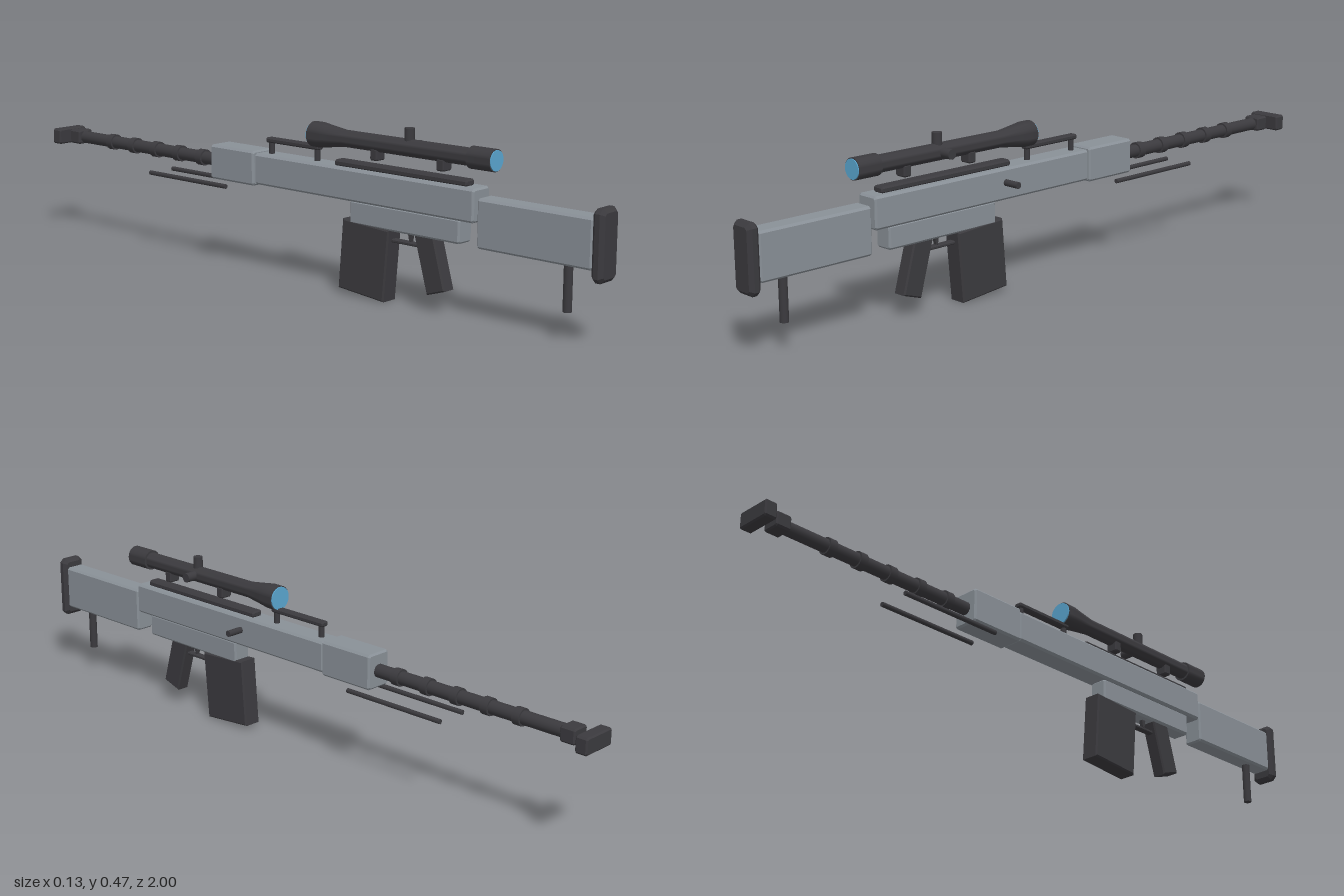
import * as THREE from 'three';
import { toCreasedNormals } from 'three/addons/utils/BufferGeometryUtils.js';

const material = (name, color) => {
  const m = new THREE.MeshStandardMaterial({ color });
  m.name = name;
  return m;
};

export function createModel() {
  const model = new THREE.Group();
  model.name = 'rifle';
  const grey = material('stockGrey', 0x899097);
  const dark = material('gunmetal', 0x3b3a3e);
  const blue = material('lensBlue', 0x5aa6d0);
  const CX = -0.016; // centre plane of the rifle

  const add = (name, geometry, mat, x, y, z) => {
    const mesh = new THREE.Mesh(geometry, mat);
    mesh.name = name;
    mesh.position.set(CX + x, y, z);
    model.add(mesh);
    return mesh;
  };

  // Box with chamfered edges, given by its y and z ranges
  const block = (name, mat, w, y0, y1, z0, z1, c = 0.005) => {
    const a = w / 2 - c, b = (y1 - y0) / 2 - c, k = c * 0.6;
    const shape = new THREE.Shape([
      [a, k - b], [a, b - k], [a - k, b], [k - a, b],
      [-a, b - k], [-a, k - b], [k - a, -b], [a - k, -b],
    ].map(p => new THREE.Vector2(...p)));
    const g = new THREE.ExtrudeGeometry(shape, {
      depth: z1 - z0 - 2 * c, bevelSize: c, bevelThickness: c, bevelSegments: 1,
    });
    return add(name, g.translate(0, 0, c), mat, 0, (y0 + y1) / 2, z0);
  };

  // Side outline of [z, y] points, extruded across the width
  const slab = (name, mat, w, points, c = 0.004) => {
    const g = new THREE.ExtrudeGeometry(new THREE.Shape(points.map(p => new THREE.Vector2(...p))), {
      depth: w - 2 * c, bevelSize: c, bevelOffset: -c, bevelThickness: c, bevelSegments: 1,
    });
    return add(name, g.translate(0, 0, c - w / 2).rotateY(-Math.PI / 2), mat, 0, 0, 0);
  };

  // Cylinder centred at a point, along the chosen axis
  const rod = (name, mat, r, length, axis, x, y, z, segments = 16) => {
    const g = new THREE.CylinderGeometry(r, r, length, segments);
    if (axis === 'x') g.rotateZ(Math.PI / 2);
    if (axis === 'z') g.rotateX(Math.PI / 2);
    return add(name, g, mat, x, y, z);
  };

  // Stock, receiver and fore-end
  block('buttPlate', dark, 0.073, 0.17, 0.35, 0.967, 1.0, 0.01);
  block('stock', grey, 0.058, 0.198, 0.326, 0.63, 0.967);
  block('receiver', grey, 0.069, 0.261, 0.348, -0.136, 0.623);
  block('lowerReceiver', grey, 0.054, 0.199, 0.264, 0.21, 0.575);
  block('foreEnd', grey, 0.078, 0.256, 0.354, -0.307, -0.136);
  rod('monopod', dark, 0.0115, 0.125, 'y', 0, 0.141, 0.885);

  // Grip, trigger and magazine
  slab('pistolGrip', dark, 0.042, [[0.487, 0.21], [0.422, 0.21], [0.468, 0.048], [0.527, 0.067]]);
  slab('magazine', dark, 0.054, [[0.345, 0.2], [0.185, 0.21], [0.17, 0.018], [0.328, 0.004]]);
  block('triggerGuard', dark, 0.02, 0.166, 0.175, 0.33, 0.455, 0.002);
  slab('trigger', dark, 0.012, [[0.408, 0.203], [0.392, 0.203], [0.397, 0.176], [0.403, 0.176]], 0.001);

  // Barrel with rings and muzzle brake
  rod('barrel', dark, 0.0185, 0.62, 'z', 0, 0.304, -0.6);
  for (let i = 0; i < 5; i++) rod('barrelRing', dark, 0.0235, 0.023, 'z', 0, 0.304, -0.377 - i * 0.098);
  block('muzzleCollar', dark, 0.052, 0.284, 0.326, -0.947, -0.903, 0.004);
  block('muzzleBrake', dark, 0.103, 0.28, 0.326, -1.0, -0.965, 0.004);

  // Folded bipod legs and bolt handle
  for (const side of [-1, 1]) rod('bipodLeg', dark, 0.0068, 0.317, 'z', side * 0.0445, 0.242, -0.397, 8);
  rod('boltHandle', dark, 0.009, 0.063, 'x', 0.0515, 0.309, 0.18);

  // Top rail and carry handle
  block('scopeRail', dark, 0.036, 0.346, 0.364, 0.147, 0.588, 0.004);
  block('carryHandleBar', dark, 0.024, 0.379, 0.393, -0.113, 0.082, 0.003);
  for (const z of [0.07, -0.1]) rod('carryHandlePost', dark, 0.008, 0.045, 'y', 0, 0.364, z);

  // Scope: one turned body with a lens at each end
  const scopeY = 0.421;
  const profile = [
    [0, 0.06], [0.035, 0.06], [0.035, 0.09], [0.031, 0.115], [0.023, 0.172],
    [0.023, 0.592], [0.029, 0.592], [0.029, 0.665], [0, 0.665],
  ].map(p => new THREE.Vector2(...p));
  const body = new THREE.LatheGeometry(profile, 24).rotateX(Math.PI / 2);
  add('scopeBody', toCreasedNormals(body, 0.6), dark, 0, scopeY, 0);
  rod('rearLens', blue, 0.0265, 0.004, 'z', 0, scopeY, 0.6655, 24);
  rod('frontLens', blue, 0.0325, 0.004, 'z', 0, scopeY, 0.0585, 24);
  rod('topTurret', dark, 0.0135, 0.052, 'y', 0, 0.447, 0.39);
  rod('sideTurret', dark, 0.0135, 0.053, 'x', 0.0265, scopeY, 0.385);
  for (const z of [0.283, 0.503]) block('scopeMount', dark, 0.036, 0.376, 0.408, z - 0.012, z + 0.012, 0.003);

  return model;
}
